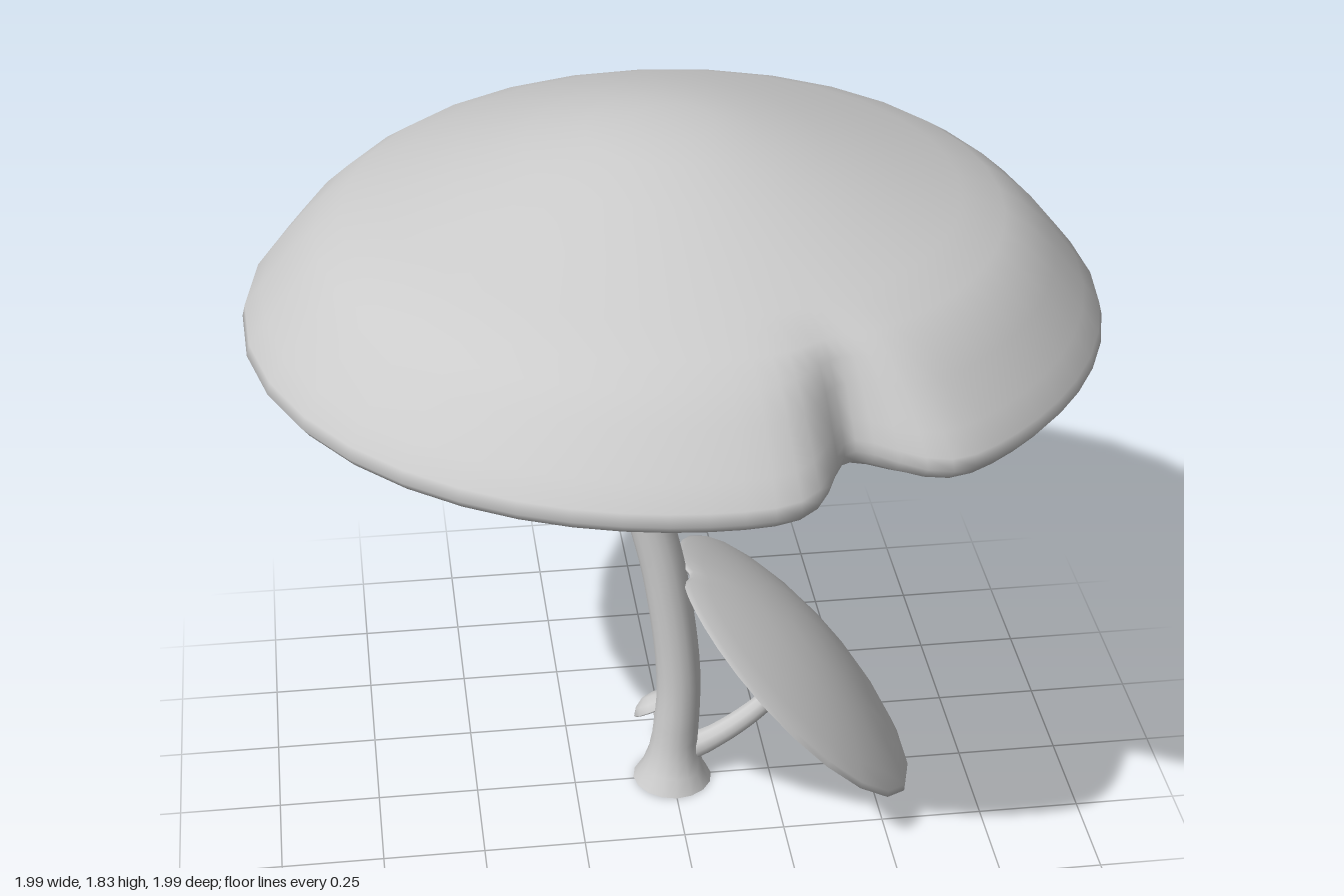
import * as THREE from 'three';
import { mergeVertices } from 'three/addons/utils/BufferGeometryUtils.js';

const material = new THREE.MeshStandardMaterial({ color: 0xcccccc, side: THREE.DoubleSide });

// Weld seams so the normals are smooth all the way round
function smooth(geometry) {
  geometry.deleteAttribute('normal');
  geometry.deleteAttribute('uv');
  const welded = mergeVertices(geometry, 1e-5);
  welded.computeVertexNormals();
  return welded;
}

function addMesh(parent, name, geometry) {
  const mesh = new THREE.Mesh(geometry, material);
  mesh.name = name;
  parent.add(mesh);
  return mesh;
}

// Turned cap; profile runs from under the centre, round the rim, to the crown.
// An optional notch pulls the rim inward; the segments crowd towards it.
function capGeometry(profile, segments, notch) {
  const points = profile.map(([r, y]) => new THREE.Vector2(r, y));
  const geometry = new THREE.LatheGeometry(points, segments);
  if (notch) {
    const pos = geometry.attributes.position;
    const rim = Math.max(...profile.map(p => p[0]));
    for (let i = 0; i < pos.count; i++) {
      const x = pos.getX(i), z = pos.getZ(i);
      const r = Math.hypot(x, z);
      let d = Math.atan2(z, x) - notch.angle;
      d = Math.atan2(Math.sin(d), Math.cos(d));
      d -= 0.72 * Math.sin(d);
      const dip = Math.exp(-((d / notch.width) ** 2));
      const weight = THREE.MathUtils.clamp((r / rim - 0.72) / 0.28, 0, 1);
      const nr = r - notch.depth * dip * weight;
      const a = notch.angle + d;
      pos.setXYZ(i, nr * Math.cos(a), pos.getY(i) + notch.lift * dip * weight ** 2, nr * Math.sin(a));
    }
  }
  return smooth(geometry);
}

// Tube along a curve whose radius follows [t, radius] pairs
function stalkGeometry(path, radii, rings, sides) {
  const curve = new THREE.CatmullRomCurve3(path.map(p => new THREE.Vector3(...p)));
  const geometry = new THREE.TubeGeometry(curve, rings, 1, sides);
  const pos = geometry.attributes.position;
  const v = new THREE.Vector3();
  for (let i = 0; i < pos.count; i++) {
    const t = Math.floor(i / (sides + 1)) / rings;
    let k = 1;
    while (k < radii.length - 1 && radii[k][0] < t) k++;
    const [t0, r0] = radii[k - 1], [t1, r1] = radii[k];
    const radius = THREE.MathUtils.lerp(r0, r1, (t - t0) / (t1 - t0));
    const centre = curve.getPointAt(t);
    v.fromBufferAttribute(pos, i).sub(centre).multiplyScalar(radius).add(centre);
    pos.setXYZ(i, v.x, Math.max(v.y, 0), v.z);
  }
  return smooth(geometry);
}

export function createModel() {
  const group = new THREE.Group();
  group.name = 'mushroomCluster';

  // Large domed cap with hollow underside and a notch in the front rim
  addMesh(group, 'largeCap', capGeometry([
    [0, 1.62], [0.12, 1.615], [0.35, 1.59], [0.55, 1.56], [0.7, 1.52], [0.79, 1.475], [0.845, 1.41],
    [0.89, 1.358], [0.94, 1.343], [0.98, 1.35], [0.997, 1.372], [0.99, 1.4],
    [0.95, 1.45], [0.88, 1.535], [0.82, 1.59], [0.76, 1.63], [0.66, 1.67], [0.5, 1.727],
    [0.34, 1.78], [0.2, 1.815], [0.1, 1.829], [0, 1.832],
  ], 48, { angle: 1.225, width: 0.12, depth: 0.165, lift: 0.03 }));

  // Main stem, bent, open at its flared foot and widening into the cap
  addMesh(group, 'mainStem', stalkGeometry([
    [0, 0, 0], [0.005, 0.1, 0], [0.017, 0.3, -0.005], [-0.015, 0.6, -0.02],
    [-0.075, 0.88, -0.042], [-0.09, 1.1, -0.035], [-0.075, 1.36, -0.015], [-0.06, 1.63, 0],
  ], [[0, 0.1], [0.025, 0.078], [0.06, 0.06], [0.15, 0.056], [0.8, 0.053], [0.94, 0.055], [0.97, 0.065], [1, 0.1]], 40, 16));

  // Medium tilted cap, a shallow cone with a nick at its upper edge
  const mediumCap = addMesh(group, 'mediumCap', capGeometry([
    [0, 0.05], [0.12, 0.046], [0.25, 0.028], [0.35, 0.008], [0.405, -0.004], [0.42, 0],
    [0.41, 0.011], [0.36, 0.03], [0.29, 0.051], [0.2, 0.073], [0.1, 0.087], [0, 0.091],
  ], 30, { angle: Math.PI, width: 0.1, depth: 0.03, lift: 0.01 }));
  mediumCap.position.set(0.306, 0.333, 0.02);
  mediumCap.rotation.z = -0.803;
  addMesh(group, 'mediumStem', stalkGeometry(
    [[0, 0.07, 0], [0.1, 0.11, 0], [0.21, 0.19, 0.005], [0.29, 0.285, 0.015], [0.345, 0.375, 0.02]],
    [[0, 0.04], [0.25, 0.031], [0.6, 0.026], [1, 0.026]], 16, 10));

  // Tiny mushroom sprouting behind the foot
  const tinyCap = addMesh(group, 'tinyCap', capGeometry([
    [0, 0.014], [0.04, 0.005], [0.064, -0.003], [0.072, 0.001], [0.06, 0.019], [0.035, 0.036], [0, 0.042],
  ], 14));
  tinyCap.position.set(-0.015, 0.12, -0.14);
  tinyCap.quaternion.setFromUnitVectors(new THREE.Vector3(0, 1, 0), new THREE.Vector3(-0.3, 0.75, -0.45).normalize());
  addMesh(group, 'tinyStem', stalkGeometry(
    [[0, 0.04, -0.03], [-0.01, 0.065, -0.09], [-0.02, 0.137, -0.147]],
    [[0, 0.03], [0.4, 0.018], [1, 0.015]], 10, 8));

  return group;
}
